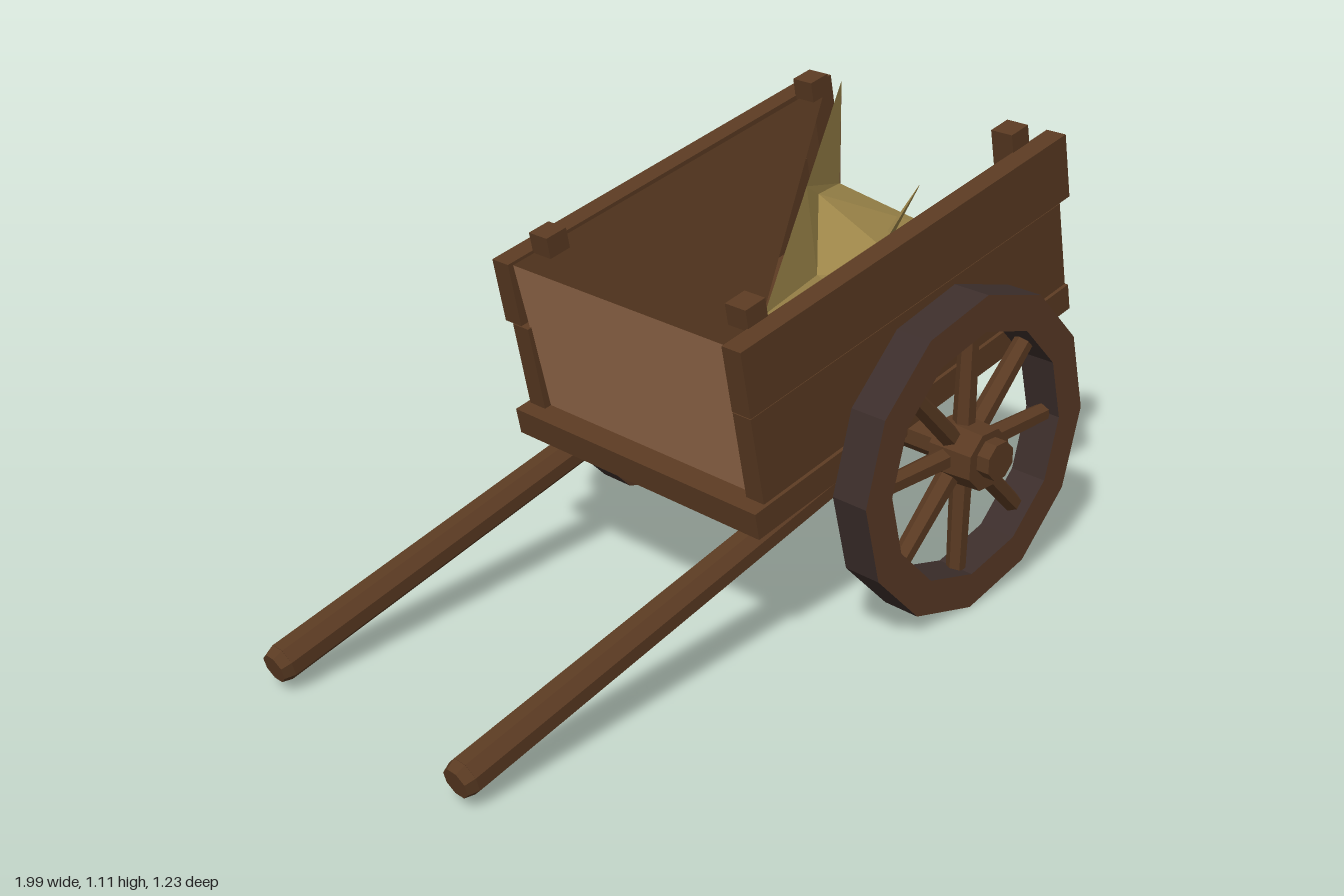
import * as THREE from 'three';

const paint = (color, side = THREE.FrontSide) =>
  new THREE.MeshStandardMaterial({ color, flatShading: true, side });
const wood = paint(0x5a3a22);
const darkWood = paint(0x4a2f1a, THREE.DoubleSide);
const rimWood = paint(0x5a3a26, THREE.DoubleSide);
const tyre = paint(0x3c2e2b, THREE.DoubleSide);
const straw = paint(0x9c8549, THREE.DoubleSide);
const earth = paint(0x966a4b, THREE.DoubleSide);

function add(parent, name, geometry, material) {
  const mesh = new THREE.Mesh(geometry, material);
  mesh.name = name;
  parent.add(mesh);
  return mesh;
}

// Box given by its low and high corners
function box(parent, name, [x0, y0, z0], [x1, y1, z1], material = wood) {
  const mesh = add(parent, name, new THREE.BoxGeometry(x1 - x0, y1 - y0, z1 - z0), material);
  mesh.position.set((x0 + x1) / 2, (y0 + y1) / 2, (z0 + z1) / 2);
  return mesh;
}

// Faceted pole between two points
function pole(parent, name, from, to, r0, r1, sides, material = wood) {
  const a = new THREE.Vector3(...from), b = new THREE.Vector3(...to);
  const geometry = new THREE.CylinderGeometry(r1, r0, a.distanceTo(b), sides);
  geometry.rotateY(Math.PI / sides);
  const mesh = add(parent, name, geometry, material);
  mesh.position.copy(a).add(b).multiplyScalar(0.5);
  mesh.quaternion.setFromUnitVectors(new THREE.Vector3(0, 1, 0), b.sub(a).normalize());
  return mesh;
}

// Surface from named points and triangles written as strings of names
function facets(parent, name, points, triangles, material) {
  const geometry = new THREE.BufferGeometry();
  const corners = triangles.flatMap((t) => [...t].flatMap((key) => points[key]));
  geometry.setAttribute('position', new THREE.Float32BufferAttribute(corners, 3));
  geometry.computeVertexNormals();
  return add(parent, name, geometry, material);
}

function ring(parent, name, profile, material) {
  const geometry = new THREE.LatheGeometry(profile.map((p) => new THREE.Vector2(...p)), 12);
  geometry.rotateX(Math.PI / 2);
  return add(parent, name, geometry, material);
}

function createWheel() {
  const wheel = new THREE.Group();
  wheel.name = 'wheel';
  const outer = 0.412, inner = 0.32, half = 0.05;
  ring(wheel, 'tyre', [[outer, -half], [outer, half]], tyre);
  ring(wheel, 'innerRim', [[inner, -half], [inner, half]], tyre);
  for (const z of [-half, half]) ring(wheel, 'rimFace', [[inner, z], [outer, z]], rimWood);
  for (let i = 0; i < 8; i++) {
    const c = Math.cos(i * Math.PI / 4), s = Math.sin(i * Math.PI / 4);
    pole(wheel, 'spoke', [0.05 * c, 0.05 * s, 0], [0.335 * c, 0.335 * s, 0], 0.028, 0.024, 6);
  }
  pole(wheel, 'hub', [0, 0, -0.04], [0, 0, 0.08], 0.085, 0.078, 8);
  return wheel;
}

export function createModel() {
  const cart = new THREE.Group();
  cart.name = 'cart';

  // Wheels and axle
  for (const s of [1, -1]) {
    const wheel = createWheel();
    wheel.position.set(0.455, 0.417, 0.5 * s);
    if (s < 0) wheel.rotation.y = Math.PI;
    cart.add(wheel);
  }
  pole(cart, 'axle', [0.455, 0.425, -0.615], [0.455, 0.425, 0.615], 0.05, 0.05, 8);

  // Shafts with chamfered tips
  for (const z of [0.327, -0.327]) {
    pole(cart, 'shaft', [-0.965, 0.072, z], [0.5, 0.465, z], 0.047, 0.042, 8);
    pole(cart, 'shaftTip', [-0.99, 0.065, z], [-0.965, 0.072, z], 0.038, 0.047, 8);
  }

  // Tilted body: floor, side planks and corner posts
  const body = new THREE.Group();
  body.name = 'body';
  body.position.set(-0.16, 0.365, 0);
  body.rotation.z = 0.21;
  cart.add(body);
  box(body, 'floor', [0, 0, -0.41], [1.175, 0.07, 0.41]);
  for (const s of [1, -1]) {
    const side = new THREE.Group();
    side.name = 'side';
    side.scale.z = s;
    body.add(side);
    box(side, 'lowerPlank', [0.04, 0.07, 0.345], [1.175, 0.3, 0.4]);
    box(side, 'upperPlank', [0.03, 0.312, 0.355], [1.2, 0.483, 0.412]);
    for (const x of [0.145, 1.093]) {
      box(side, 'post', [x - 0.032, 0.07, 0.295], [x + 0.032, 0.53, 0.358]);
    }
  }

  // Sheet over one half of the load, and the load's end below it
  const sheet = {
    a: [0.045, 0.475, -0.355], b: [1.17, 0.475, -0.345],
    c: [0.17, 0.475, 0.345], d: [0.045, 0.475, 0.345],
    e: [0.06, 0.07, -0.345], f: [0.06, 0.07, 0.345],
  };
  facets(body, 'sheet', sheet, ['acb', 'adc'], darkWood);
  facets(body, 'loadEnd', sheet, ['aed', 'def'], earth);

  // Load falling from the sheet's edge to the open corner
  const load = {
    A: [-0.08, 0.87, 0.34], B: [0.94, 1.07, -0.34], R: [0.43, 0.97, 0],
    M: [0.27, 0.79, 0.32], N: [0.33, 0.8, 0.13], P: [0.52, 0.92, -0.04],
    Q: [0.76, 0.86, -0.18], E: [0.5, 0.8, 0.29], H: [0.8, 0.8, 0.1],
    F: [0.55, 0.6, 0.345], G: [0.9, 0.7, 0.25], K: [0.95, 0.7, -0.34],
    L: [-0.05, 0.46, 0.345],
  };
  facets(cart, 'straw', load,
    ['AMN', 'ANR', 'RNP', 'RPQ', 'RQB', 'MEN', 'NEP', 'PEH', 'PHQ'], straw);
  facets(cart, 'earth', load,
    ['EFG', 'EGH', 'HGK', 'HKQ', 'QKB', 'MFE', 'ALM', 'LFM'], earth);
  pole(cart, 'stalk', [0.6, 0.84, 0.13], [0.63, 0.97, 0.19], 0.01, 0.001, 3, straw);

  return cart;
}
